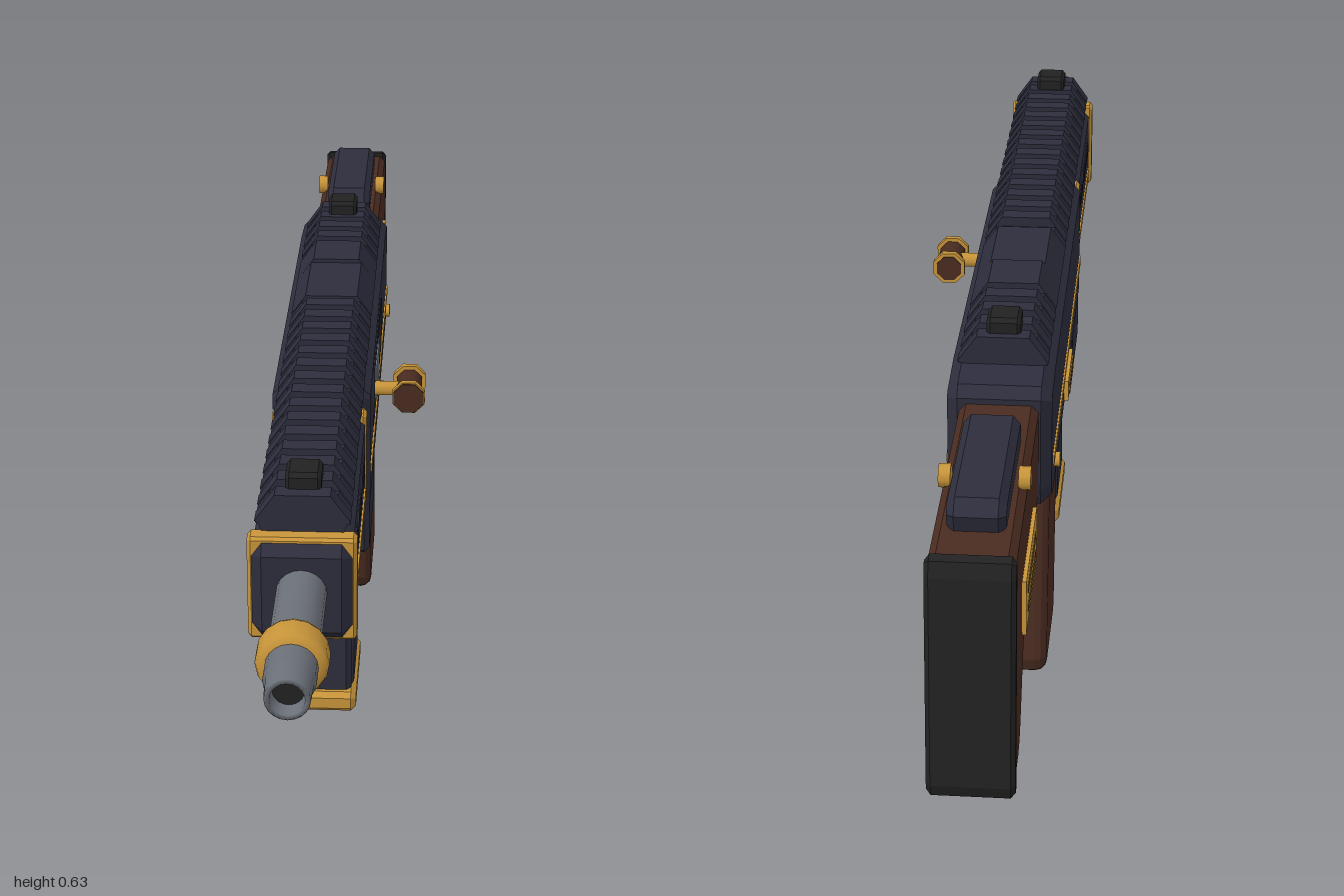
import * as THREE from 'three';

const mat = (name, color, extra = {}) => new THREE.MeshStandardMaterial({ name, color, ...extra });

export function createModel() {
  const navy = mat('dark navy', 0x2d2d3d);
  const wood = mat('brown wood', 0x4a2c21);
  const gold = mat('gold', 0xc8953a);
  const shade = mat('dark gold', 0x7d5c22);
  const steel = mat('steel', 0x6b7078);
  const black = mat('black', 0x222222);
  const model = new THREE.Group();
  const body = new THREE.Group();
  body.name = 'body';
  body.position.x = -0.037;
  model.add(body);

  const add = (name, geo, material, x = 0, y = 0, z = 0) => {
    const m = new THREE.Mesh(geo, material);
    m.name = name;
    m.position.set(x, y, z);
    body.add(m);
    return m;
  };
  // Outline in (z, y), extruded across x with bevelled edges
  const side = (name, pts, width, bevel, material, segs = 1) => {
    const shape = new THREE.Shape(pts.map(([z, y]) => new THREE.Vector2(z, y)));
    const geo = new THREE.ExtrudeGeometry(shape, {
      depth: width - 2 * bevel, bevelEnabled: bevel > 0, bevelThickness: bevel,
      bevelSize: bevel, bevelOffset: -bevel, bevelSegments: segs,
    });
    geo.translate(0, 0, bevel - width / 2);
    geo.rotateY(-Math.PI / 2);
    return add(name, geo, material);
  };
  // Rectangle outline with cut corners
  const rect = (z0, z1, y0, y1, c = 0.01) => [
    [z0 + c, y0], [z1 - c, y0], [z1, y0 + c], [z1, y1 - c],
    [z1 - c, y1], [z0 + c, y1], [z0, y1 - c], [z0, y0 + c],
  ];
  const box = (name, x0, x1, y0, y1, z0, z1, material) =>
    add(name, new THREE.BoxGeometry(x1 - x0, y1 - y0, z1 - z0), material,
      (x0 + x1) / 2, (y0 + y1) / 2, (z0 + z1) / 2);
  // Outline in (x, y), extruded along z
  const along = (name, pts, z0, z1, material) => {
    const shape = new THREE.Shape(pts.map(([x, y]) => new THREE.Vector2(x, y)));
    return add(name, new THREE.ExtrudeGeometry(shape, { depth: z1 - z0, bevelEnabled: false }), material, 0, 0, z0);
  };
  // Turned part along z from [radius, z] points
  const turned = (name, pts, sides, material, x = 0, y = 0) => {
    const geo = new THREE.LatheGeometry(pts.map(([r, z]) => new THREE.Vector2(r, z)), sides);
    geo.rotateX(Math.PI / 2);
    return add(name, geo, material, x, y);
  };

  // Barrel, muzzle and ring
  const axis = 0.487;
  turned('barrel', [[0.034, 0.68], [0.034, 0.955], [0.031, 0.96], [0.029, 1], [0.022, 1], [0.02, 0.975]], 20, steel, 0, axis);
  turned('bore', [[0.022, 0.978], [0, 0.978]], 20, black, 0, axis);
  turned('barrelRing', [[0.034, 0.873], [0.044, 0.876], [0.047, 0.884], [0.047, 0.912], [0.044, 0.92], [0.034, 0.923]], 16, gold, 0, axis);

  // Handguard with gold bands
  side('handguard', rect(0.25, 0.728, 0.414, 0.553, 0.014), 0.134, 0.014, navy);
  side('frontBand', rect(0.685, 0.714, 0.409, 0.56, 0.004), 0.146, 0.005, gold);
  side('rearBand', rect(0.278, 0.306, 0.41, 0.557, 0.004), 0.139, 0.005, gold);
  box('lowerRail', -0.045, 0.045, 0.398, 0.42, 0.465, 0.615, navy);
  for (let i = 0; i < 3; i++) {
    const z = 0.488 + i * 0.052;
    box('lowerRailTooth', -0.045, 0.045, 0.385, 0.4, z - 0.016, z + 0.016, navy);
  }

  // Receiver
  side('receiver', [[0.26, 0.38], [0.25, 0.37], [-0.5, 0.37], [-0.535, 0.385], [-0.545, 0.41],
    [-0.545, 0.55], [-0.53, 0.565], [-0.44, 0.575], [0.25, 0.575], [0.26, 0.56]].reverse(), 0.146, 0.015, navy);
  side('magazineWell', rect(0.055, 0.25, 0.298, 0.4, 0.006), 0.144, 0.008, navy);

  // Top rail: sloped base, ribs, smooth cover
  const trapezoid = (y0, y1, w0, w1) => [[-w0, y0], [w0, y0], [w1, y1], [-w1, y1]];
  along('railBase', trapezoid(0.545, 0.575, 0.05, 0.06), -0.475, 0.692, navy);
  along('railSlope', trapezoid(0.572, 0.597, 0.063, 0.046), -0.475, 0.692, navy);
  const rib = trapezoid(0.574, 0.612, 0.064, 0.037);
  const ribs = (start, count, pitch) => {
    for (let i = 0; i < count; i++) along('railRib', rib, start - i * pitch - 0.029, start - i * pitch, navy);
  };
  ribs(0.692, 15, 0.0485);
  ribs(-0.25, 5, 0.049);
  along('railCover', trapezoid(0.574, 0.606, 0.064, 0.041), -0.19, -0.04, navy);
  along('railCoverStep', rib, -0.25, -0.19, navy);

  // Sights
  for (const z of [0.645, -0.435]) side('sight', rect(z - 0.027, z + 0.027, 0.605, 0.634, 0.006), 0.048, 0.005, black);

  // Details on both sides
  for (const s of [-1, 1]) {
    const plate = (name, x, t, y0, y1, z0, z1, m) =>
      box(name, s * x - t / 2, s * x + t / 2, y0, y1, z0, z1, m);
    for (const z of [0.605, 0.5, 0.39]) {
      plate('ventRim', 0.067, 0.003, 0.487, 0.513, z - 0.036, z + 0.036, navy);
      plate('vent', 0.0675, 0.004, 0.492, 0.508, z - 0.03, z + 0.03, black);
    }
    plate('handguardStripe', 0.067, 0.005, 0.433, 0.446, 0.325, 0.67, gold);
    plate('receiverStripe', 0.073, 0.005, 0.433, 0.446, -0.505, 0.24, gold);
    plate('stockPlate', 0.056, 0.009, 0.365, 0.444, -0.857, -0.655, gold);
    for (const y of [0.389, 0.418]) plate('stockPlateSlot', 0.0595, 0.004, y - 0.006, y + 0.006, -0.83, -0.685, shade);
    // Pins
    for (const [name, x, y, z, r] of [['receiverPin', 0.073, 0.417, -0.458, 0.011], ['cheekScrew', 0.052, 0.545, -0.765, 0.016]]) {
      const pin = add(name, new THREE.CylinderGeometry(r, r, 0.016, 10), gold, s * x, y, z);
      pin.rotation.z = Math.PI / 2;
    }
  }

  // Ejection port and bolt on the left
  box('portFrame', 0.07, 0.0742, 0.455, 0.545, -0.205, 0.12, navy);
  box('ejectionPort', 0.07, 0.075, 0.462, 0.54, -0.2, -0.03, black);
  box('bolt', 0.07, 0.0765, 0.474, 0.53, -0.06, 0.06, steel);

  // Charging handle with spool knob
  const shaft = add('handleShaft', new THREE.CylinderGeometry(0.012, 0.012, 0.06, 8), gold, 0.095, 0.5, 0.077);
  shaft.rotation.z = Math.PI / 2;
  const knob = (name, r, z0, z1, m) => {
    const k = add(name, new THREE.CylinderGeometry(r, r, z1 - z0, 8), m, 0.127, 0.5, (z0 + z1) / 2);
    k.rotation.set(Math.PI / 2, Math.PI / 8, 0);
  };
  knob('handleKnob', 0.021, 0.036, 0.116, wood);
  knob('handleRim', 0.027, 0.038, 0.049, gold);
  knob('handleRim', 0.027, 0.104, 0.114, gold);
  knob('handleCap', 0.025, 0.113, 0.117, wood);

  // Selector lever on the right
  box('selector', -0.08, -0.07, 0.396, 0.428, -0.22, -0.1, gold);
  for (const y of [0.405, 0.419]) box('selectorGroove', -0.082, -0.079, y - 0.003, y + 0.003, -0.21, -0.11, shade);

  // Magazine and base plate
  side('magazine', [[0.075, 0.32], [0.235, 0.32], [0.25, 0.05], [0.078, 0.05]].reverse(), 0.088, 0.008, navy);
  side('magazineRib', [[0.09, 0.31], [0.22, 0.31], [0.235, 0.055], [0.095, 0.055]].reverse(), 0.096, 0.006, navy);
  side('magazineBase', rect(0.07, 0.264, 0.022, 0.056, 0.008), 0.104, 0.008, gold);

  // Trigger and guard
  side('trigger', [[-0.014, 0.385], [-0.018, 0.33], [-0.028, 0.29], [-0.042, 0.255], [-0.05, 0.262],
    [-0.046, 0.3], [-0.045, 0.34], [-0.046, 0.385]].reverse(), 0.026, 0.003, gold);
  side('triggerGuard', [[0.075, 0.31], [0.075, 0.205], [0.062, 0.178], [0.035, 0.165], [-0.17, 0.165],
    [-0.17, 0.179], [0.035, 0.179], [0.05, 0.187], [0.058, 0.205], [0.058, 0.31]], 0.046, 0.002, navy);

  // Grip
  side('grip', [[-0.13, 0.38], [-0.172, 0.03], [-0.18, 0.012], [-0.2, 0], [-0.365, 0.004],
    [-0.38, 0.014], [-0.386, 0.035], [-0.337, 0.38]], 0.118, 0.018, wood, 3);

  // Stock, butt pad and cheek rest
  side('stockNeck', rect(-0.68, -0.53, 0.4, 0.535, 0.008), 0.1, 0.01, wood);
  side('stock', [[-0.535, 0.542], [-0.535, 0.396], [-0.77, 0.366], [-0.805, 0.345], [-0.83, 0.315],
    [-0.87, 0.245], [-0.89, 0.222], [-0.915, 0.212], [-0.985, 0.212], [-0.975, 0.535]].reverse(), 0.11, 0.01, wood)
    .geometry.scale(-1, 1, 1).index;
  const stock = body.children[body.children.length - 1];
  body.remove(stock);
  side('stock', [[-0.535, 0.542], [-0.975, 0.535], [-0.985, 0.212], [-0.915, 0.212], [-0.89, 0.222],
    [-0.87, 0.245], [-0.83, 0.315], [-0.805, 0.345], [-0.77, 0.366], [-0.535, 0.396]], 0.11, 0.01, wood);
  side('buttPad', [[-0.966, 0.542], [-0.982, 0.54], [-0.989, 0.52], [-1, 0.225], [-0.994, 0.207], [-0.974, 0.207]], 0.114, 0.006, black);
  side('cheekRest', [[-0.64, 0.53], [-0.63, 0.555], [-0.65, 0.578], [-0.885, 0.578], [-0.905, 0.56], [-0.895, 0.53]], 0.076, 0.01, navy);

  return model;
}
